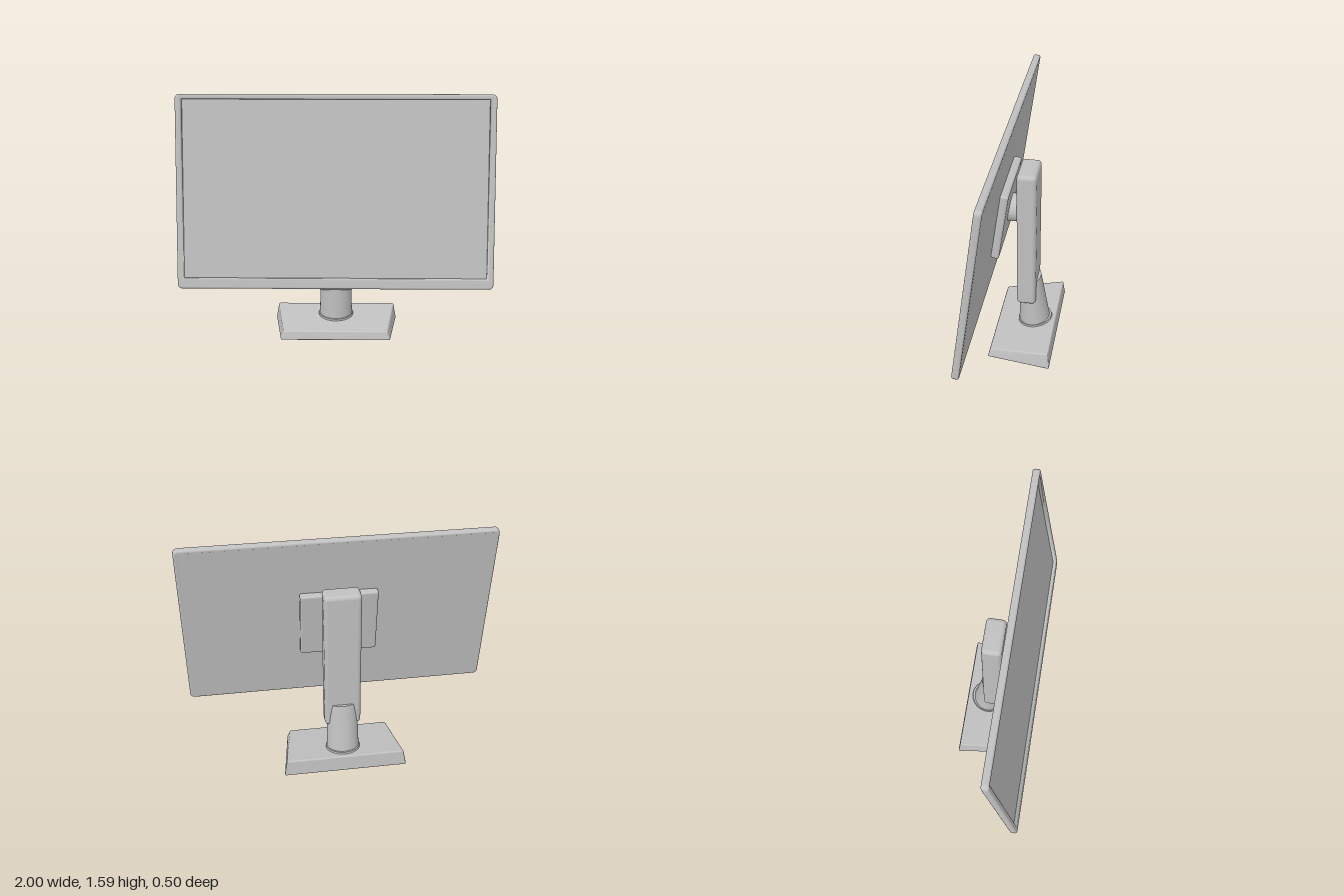
import * as THREE from 'three';
import { mergeVertices } from 'three/addons/utils/BufferGeometryUtils.js';
import { RoundedBoxGeometry } from 'three/addons/geometries/RoundedBoxGeometry.js';

const TILT = THREE.MathUtils.degToRad(8.2);

// Weld and use area-weighted normals: flat faces stay flat, rounded edges stay soft
function smooth(geo) {
  geo.deleteAttribute('normal');
  geo.deleteAttribute('uv');
  const g = mergeVertices(geo, 1e-5);
  g.computeVertexNormals();
  return g;
}

function roundedRect(w, h, r) {
  const s = new THREE.Shape();
  const x = w / 2, y = h / 2;
  s.moveTo(-x + r, -y);
  s.lineTo(x - r, -y).absarc(x - r, -y + r, r, -Math.PI / 2, 0);
  s.lineTo(x, y - r).absarc(x - r, y - r, r, 0, Math.PI / 2);
  s.lineTo(-x + r, y).absarc(-x + r, y - r, r, Math.PI / 2, Math.PI);
  s.lineTo(-x, -y + r).absarc(-x + r, -y + r, r, Math.PI, Math.PI * 1.5);
  return s;
}

export function createModel() {
  const model = new THREE.Group();
  model.name = 'monitor';
  const grey = new THREE.MeshStandardMaterial({ color: 0xc0c0c0 });
  grey.name = 'grey plastic';

  function add(name, geo, parent, x = 0, y = 0, z = 0) {
    const m = new THREE.Mesh(geo, grey);
    m.name = name;
    m.position.set(x, y, z);
    parent.add(m);
    return m;
  }

  // Tilted display
  const display = new THREE.Group();
  display.name = 'display';
  display.position.set(0, 0.985, 0.142);
  display.rotation.x = -TILT;
  model.add(display);

  // Bezel with rounded edges, taller at the bottom
  const L = 0.958, T = 0.58, B = -0.545, bevel = 0.012;
  const outline = roundedRect(2, 1.226, 0.03);
  const hole = new THREE.Path();
  hole.moveTo(-L, B).lineTo(-L, T).lineTo(L, T).lineTo(L, B).closePath();
  outline.holes.push(hole);
  const bezel = new THREE.ExtrudeGeometry(outline, {
    depth: 0.022, bevelThickness: bevel, bevelSize: bevel, bevelOffset: -bevel,
    bevelSegments: 4, curveSegments: 6,
  });
  bezel.translate(0, 0, -0.011);
  add('bezel', smooth(bezel), display);

  // Recessed screen, closing the back too
  add('screen', new THREE.BoxGeometry(2 * L + 0.03, T - B + 0.03, 0.0242), display,
    0, (T + B) / 2, -0.0111);

  // Mounting plate
  add('mountPlate', smooth(new RoundedBoxGeometry(0.5, 0.475, 0.052, 3, 0.014)), display,
    0, -0.005, -0.048);

  // Pivot between plate and post
  const pivot = new THREE.CylinderGeometry(0.09, 0.09, 0.09, 40);
  pivot.rotateX(Math.PI / 2);
  add('pivot', pivot, model, 0, 0.98, 0.045);

  // Upright post
  add('post', smooth(new RoundedBoxGeometry(0.24, 0.995, 0.127, 4, 0.028)), model, 0, 0.783, -0.0515);

  // Neck: round at the foot, narrowing from the back toward the top
  const neck = new THREE.CylinderGeometry(1, 1, 1, 48, 1);
  const np = neck.attributes.position;
  for (let i = 0; i < np.count; i++) {
    const t = np.getY(i) + 0.5;
    np.setXYZ(i,
      np.getX(i) * THREE.MathUtils.lerp(0.109, 0.098, t),
      THREE.MathUtils.lerp(0.07, 0.452, t),
      np.getZ(i) * THREE.MathUtils.lerp(0.105, 0.07, t) + THREE.MathUtils.lerp(-0.1, -0.065, t));
  }
  neck.computeVertexNormals();
  add('neck', neck, model);

  // Collar lying on the sloping foot
  const collar = add('collar', new THREE.CylinderGeometry(0.113, 0.118, 0.024, 48), model, 0, 0.092, -0.1);
  collar.rotation.x = Math.atan2(0.057, 0.39);

  // Foot: rounded block tapered toward the front and the top
  const foot = new RoundedBoxGeometry(0.8, 0.1, 0.4, 3, 0.01);
  const fp = foot.attributes.position;
  for (let i = 0; i < fp.count; i++) {
    const u = fp.getX(i) / 0.4;
    const v = fp.getY(i) / 0.1 + 0.5;
    const w = fp.getZ(i) / 0.4 + 0.5;
    fp.setXYZ(i,
      u * (THREE.MathUtils.lerp(0.415, 0.357, w) - 0.02 * v),
      v * THREE.MathUtils.lerp(0.113, 0.056, w),
      THREE.MathUtils.lerp(-0.255 + 0.013 * v, 0.166 - 0.014 * v, w));
  }
  add('foot', smooth(foot), model);

  return model;
}
